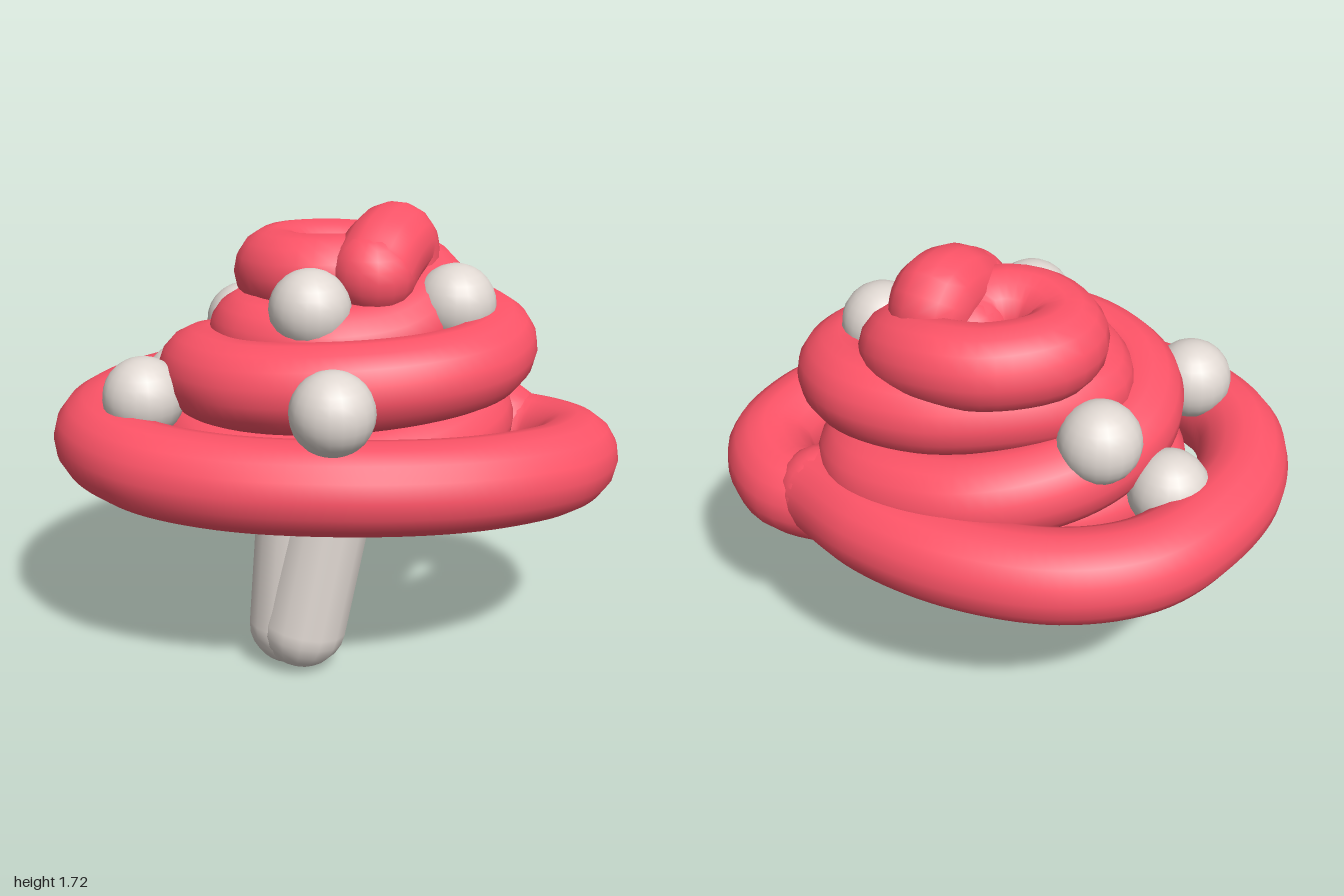
import * as THREE from 'three';

const red = new THREE.MeshStandardMaterial({ color: 0xff5468 });
const pale = new THREE.MeshStandardMaterial({ color: 0xe0d8d2 });

function add(group, name, geometry, material, position) {
  const mesh = new THREE.Mesh(geometry, material);
  mesh.name = name;
  if (position) mesh.position.copy(position);
  group.add(mesh);
  return mesh;
}

// Tube along [x, y, z, radius] stations, with a ball closing each end
function taperedRope(name, stations, material, segments) {
  const group = new THREE.Group();
  group.name = name;
  const points = stations.map(([x, y, z]) => new THREE.Vector3(x, y, z));
  const curve = new THREE.CatmullRomCurve3(points, false, 'centripetal');
  const sides = 16;
  const geometry = new THREE.TubeGeometry(curve, segments, 1, sides);
  const pos = geometry.attributes.position;
  const v = new THREE.Vector3();
  for (let i = 0; i <= segments; i++) {
    const u = i / segments;
    const centre = curve.getPointAt(u);
    const t = curve.getUtoTmapping(u) * (stations.length - 1);
    const k = Math.min(Math.floor(t), stations.length - 2);
    const radius = THREE.MathUtils.lerp(stations[k][3], stations[k + 1][3], t - k);
    for (let j = 0; j <= sides; j++) {
      const n = i * (sides + 1) + j;
      v.fromBufferAttribute(pos, n).sub(centre).multiplyScalar(radius).add(centre);
      pos.setXYZ(n, v.x, v.y, v.z);
    }
  }
  add(group, name + 'Tube', geometry, material);
  for (const end of [0, stations.length - 1]) {
    add(group, name + 'End', new THREE.SphereGeometry(stations[end][3], 16, 12), material, points[end]);
  }
  return group;
}

// Capsule between two points
function capsule(group, name, a, b, radius, material) {
  const axis = b.clone().sub(a);
  const mesh = add(group, name, new THREE.CapsuleGeometry(radius, axis.length(), 6, 14), material,
    a.clone().add(b).multiplyScalar(0.5));
  mesh.quaternion.setFromUnitVectors(new THREE.Vector3(0, 1, 0), axis.normalize());
}

export function createModel() {
  const model = new THREE.Group();
  model.name = 'coiledMushroom';

  // Lower coil: wide tilted brim that curls inward beneath the cap
  const brim = [
    [0.39, 0.80, -0.66, 0.17], [0.05, 0.82, -0.70, 0.17], [-0.31, 0.83, -0.63, 0.17],
    [-0.62, 0.83, -0.45, 0.17], [-0.79, 0.83, -0.21, 0.17], [-0.83, 0.84, 0.05, 0.17],
    [-0.77, 0.85, 0.37, 0.17], [-0.58, 0.86, 0.61, 0.17], [-0.28, 0.86, 0.70, 0.17],
    [0.06, 0.86, 0.63, 0.17], [0.42, 0.86, 0.41, 0.17], [0.68, 0.84, 0.10, 0.17],
    [0.80, 0.82, -0.17, 0.17], [0.83, 0.80, -0.38, 0.17], [0.76, 0.78, -0.60, 0.17],
    [0.55, 0.76, -0.70, 0.17], [0.28, 0.77, -0.60, 0.17], [-0.07, 0.79, -0.42, 0.17],
    [-0.39, 0.81, -0.07, 0.17], [-0.41, 0.82, 0.24, 0.17], [-0.08, 0.82, 0.45, 0.17],
  ];
  // Middle coils: two rising turns
  const middle = [
    [0.26, 0.83, 0.30, 0.17], [0.42, 0.85, -0.02, 0.17], [0.41, 0.89, -0.40, 0.17],
    [0.20, 0.93, -0.58, 0.165], [-0.20, 0.98, -0.49, 0.165], [-0.43, 1.03, -0.17, 0.165],
    [-0.44, 1.08, 0.13, 0.165], [-0.29, 1.12, 0.34, 0.165], [-0.03, 1.14, 0.41, 0.165],
    [0.28, 1.165, 0.29, 0.165], [0.50, 1.18, 0.02, 0.16], [0.56, 1.19, -0.23, 0.16],
    [0.48, 1.21, -0.45, 0.16], [0.28, 1.23, -0.54, 0.16], [0.00, 1.24, -0.46, 0.16],
    [-0.26, 1.25, -0.18, 0.155], [-0.31, 1.23, 0.04, 0.155], [-0.15, 1.24, 0.18, 0.155],
  ];
  // Top coil: small turn that closes in on its own centre
  const top = [
    [0.11, 1.25, 0.14, 0.155], [0.27, 1.27, -0.08, 0.155], [0.28, 1.33, -0.28, 0.155],
    [0.18, 1.39, -0.41, 0.155], [0.00, 1.43, -0.43, 0.155], [-0.18, 1.445, -0.35, 0.155],
    [-0.29, 1.45, -0.16, 0.16], [-0.25, 1.45, -0.03, 0.16], [-0.10, 1.46, 0.02, 0.16],
    [0.03, 1.47, -0.04, 0.155], [0.08, 1.46, -0.14, 0.155], [0.05, 1.43, -0.22, 0.155],
  ];
  model.add(taperedRope('capCoil', [...brim, ...middle, ...top], red, 340));

  // Raised tip folding over the top coil and drooping to the front
  const tip = [
    [0.13, 1.47, -0.31, 0.155], [0.13, 1.555, -0.29, 0.16], [0.16, 1.55, -0.18, 0.16],
    [0.185, 1.49, -0.075, 0.16],
  ];
  model.add(taperedRope('capTip', tip, red, 28));

  // Pale balls resting on the coils
  const balls = [
    [0.41, 1.14, 0.435], [-0.385, 1.06, 0.56], [0.085, 1.39, 0.165],
    [0.40, 1.37, -0.30], [-0.51, 1.18, -0.135], [-0.67, 0.94, 0.07],
  ];
  for (const p of balls) {
    add(model, 'capBall', new THREE.SphereGeometry(0.152, 20, 14), pale, new THREE.Vector3(...p));
  }

  // Leaning stem of two merged rolls
  const stem = new THREE.Group();
  stem.name = 'stem';
  capsule(stem, 'stemRoll', new THREE.Vector3(0.055, 0.16, 0.25), new THREE.Vector3(0.05, 0.80, 0.175), 0.16, pale);
  capsule(stem, 'stemRoll', new THREE.Vector3(0.12, 0.17, 0.25), new THREE.Vector3(0.185, 0.80, 0.13), 0.165, pale);
  model.add(stem);

  return model;
}
